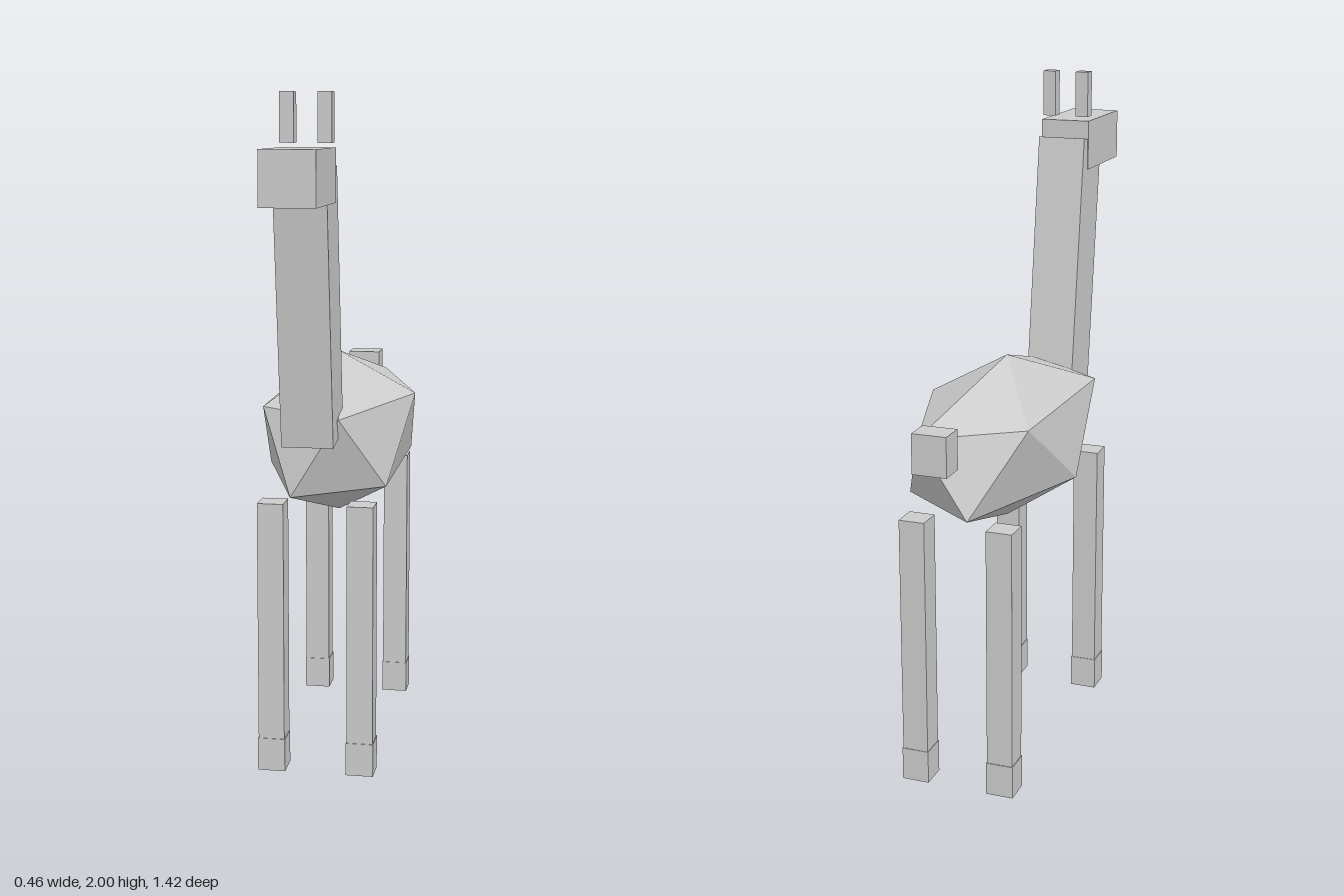
import * as THREE from 'three';

export function createModel() {
  const model = new THREE.Group();
  model.name = 'longNeckedAnimal';
  const grey = new THREE.MeshStandardMaterial({ color: 0xcccccc });
  grey.name = 'pale grey';

  const add = (name, geometry) => {
    const mesh = new THREE.Mesh(geometry, grey);
    mesh.name = name;
    model.add(mesh);
    return mesh;
  };
  // Box given by its size and centre
  const box = (name, [w, h, d], [x, y, z]) => {
    const mesh = add(name, new THREE.BoxGeometry(w, h, d));
    mesh.position.set(x, y, z);
    return mesh;
  };

  // Body: stretched twenty-sided solid, two staggered rings of five between poles
  const ring = (start, y, cx, cz, rx, rz) => Array.from({ length: 5 }, (_, k) => {
    const a = start + k * Math.PI * 0.4;
    const z = rz * Math.sin(a);
    return [cx + rx * Math.cos(a), y - z * 0.01, cz + z];
  });
  const top = [-0.01, 1.217, -0.109];
  const bottom = [-0.012, 0.714, -0.109];
  const upper = ring(0, 1.088, -0.006, -0.12, 0.231, 0.515);
  const lower = ring(Math.PI / 5, 0.859, -0.005, -0.11, 0.226, 0.51);
  const points = [];
  for (let k = 0; k < 5; k++) {
    const n = (k + 1) % 5;
    points.push(top, upper[n], upper[k]);
    points.push(upper[k], upper[n], lower[k]);
    points.push(lower[k], upper[n], lower[n]);
    points.push(lower[k], lower[n], bottom);
  }
  const bodyGeometry = new THREE.BufferGeometry();
  bodyGeometry.setAttribute('position', new THREE.Float32BufferAttribute(points.flat(), 3));
  bodyGeometry.computeVertexNormals();
  add('body', bodyGeometry);

  // Neck leaning forward, head and tail
  box('neck', [0.149, 0.77, 0.171], [-0.013, 1.406, 0.402]).rotation.x = 0.138;
  box('head', [0.154, 0.151, 0.305], [-0.013, 1.774, 0.556]);
  box('tail', [0.102, 0.116, 0.08], [-0.013, 1.085, -0.669]);

  // Ears, legs and hooves in mirrored pairs
  for (const [side, s] of [['left', 1], ['right', -1]]) {
    box(side + 'Ear', [0.04, 0.138, 0.04], [-0.013 + s * 0.053, 1.931, 0.424]);
    for (const [end, z] of [['Front', 0.28], ['Back', -0.497]]) {
      const x = -0.013 + s * 0.133;
      box(side + end + 'Leg', [0.078, 0.72, 0.078], [x, 0.46, z]);
      box(side + end + 'Hoof', [0.082, 0.1, 0.082], [x, 0.05, z]);
    }
  }
  return model;
}
